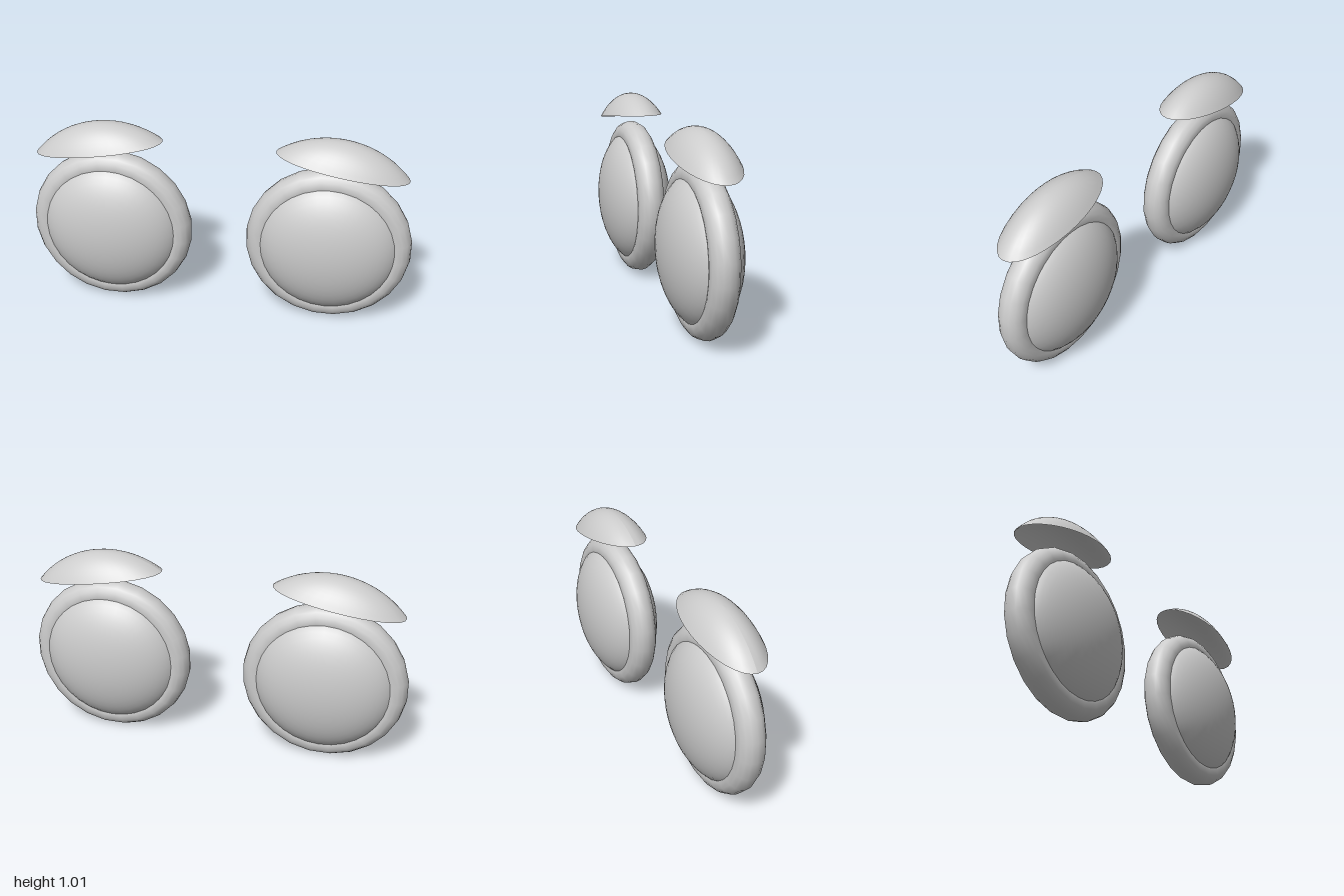
import * as THREE from 'three';

const SEGMENTS = 24;
const material = new THREE.MeshStandardMaterial({ color: 0xcccccc });
const shellMaterial = new THREE.MeshStandardMaterial({ color: 0xcccccc, side: THREE.DoubleSide });

function addMesh(parent, name, geometry, mat = material) {
  const mesh = new THREE.Mesh(geometry, mat);
  mesh.name = name;
  parent.add(mesh);
  return mesh;
}

// Shallow open dome on an elliptical rim, lifted slightly at the rim's sides
function browGeometry(halfLength, height, halfDepth, lift) {
  const theta = 0.75;
  const rim = Math.sin(theta);
  const geometry = new THREE.SphereGeometry(1, 32, 10, 0, Math.PI * 2, 0, theta);
  geometry.translate(0, -Math.cos(theta), 0);
  geometry.scale(halfLength / rim, height / (1 - Math.cos(theta)), halfDepth / rim);
  const p = geometry.attributes.position;
  for (let i = 0; i < p.count; i++) {
    p.setY(i, p.getY(i) + lift * (p.getZ(i) / halfDepth) ** 2);
  }
  geometry.computeVertexNormals();
  return geometry;
}

function createEye(side) {
  const eye = new THREE.Group();
  eye.name = side > 0 ? 'leftEye' : 'rightEye';

  // Round rim with a lens-shaped eyeball bulging through both sides
  const rim = addMesh(eye, 'eyeRim', new THREE.TorusGeometry(0.356, 0.073, 16, SEGMENTS));
  rim.position.set(side * 0.573, 0.43, 0);
  rim.rotation.z = Math.PI / SEGMENTS;

  const ball = addMesh(eye, 'eyeball', new THREE.SphereGeometry(1, 32, 24).rotateX(Math.PI / 2));
  ball.scale.set(0.372, 0.372, 0.187);
  ball.position.copy(rim.position);

  // Eyebrow floating above, sloping down to the outside
  const brow = addMesh(eye, 'eyebrow', browGeometry(0.339, 0.133, 0.154, 0.009), shellMaterial);
  brow.position.set(side * 0.625, 0.882, 0);
  brow.rotation.z = -side * 0.156;
  return eye;
}

export function createModel() {
  const model = new THREE.Group();
  model.name = 'eyesWithBrows';
  for (const side of [-1, 1]) model.add(createEye(side));
  return model;
}
